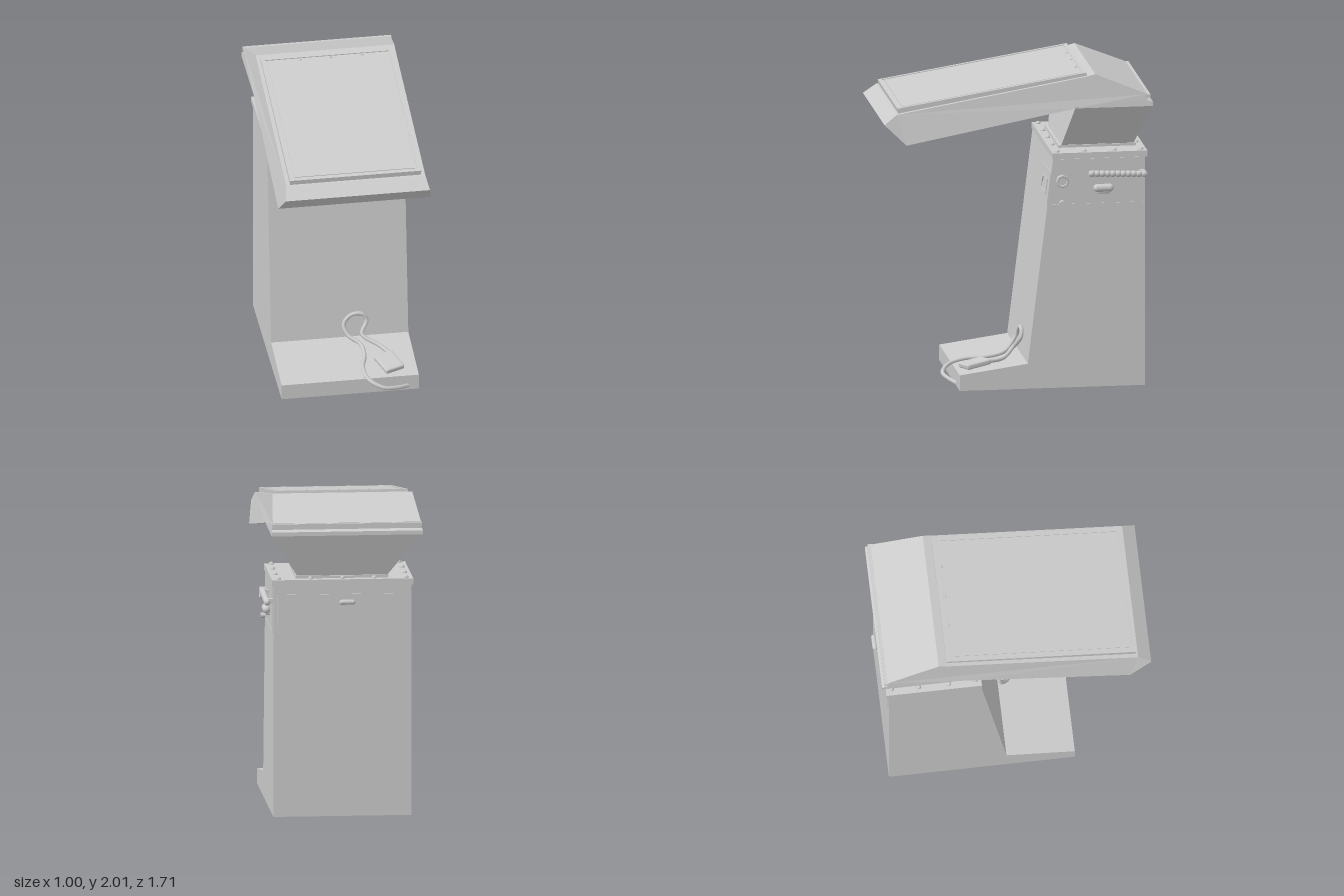
import * as THREE from 'three';
import { RoundedBoxGeometry } from 'three/addons/geometries/RoundedBoxGeometry.js';

const grey = new THREE.MeshStandardMaterial({ color: 0xcccccc });

export function createModel() {
  const group = new THREE.Group();

  const add = (name, geometry, x = 0, y = 0, z = 0, parent = group) => {
    const mesh = new THREE.Mesh(geometry, grey);
    mesh.name = name;
    mesh.position.set(x, y, z);
    parent.add(mesh);
    return mesh;
  };
  const box = (name, sx, sy, sz, x, y, z, parent) =>
    add(name, new THREE.BoxGeometry(sx, sy, sz), x, y, z, parent);

  // Side profile of [z, y, half width] points, spread to each point's width
  const sideExtrude = (points) => {
    const shape = new THREE.Shape(points.map(([z, y]) => new THREE.Vector2(z, y)));
    const geo = new THREE.ExtrudeGeometry(shape, { depth: 2, bevelEnabled: false });
    geo.translate(0, 0, -1).rotateY(-Math.PI / 2);
    const pos = geo.attributes.position;
    for (let i = 0; i < pos.count; i++) {
      const p = points.find(([z, y]) =>
        Math.hypot(z - pos.getZ(i), y - pos.getY(i)) < 1e-4);
      pos.setX(i, pos.getX(i) * p[2]);
    }
    geo.computeVertexNormals();
    return geo;
  };

  // Pedestal with sloping front and foot plate
  const w = 0.434;
  add('pedestal', sideExtrude([
    [0.38, 0, w], [-0.79, 0, w], [-0.79, 1.47, w],
    [-0.21, 1.47, w], [-0.05, 0.16, w], [0.38, 0.1, w],
  ]), 0.006);
  box('pedestalLid', 0.885, 0.038, 0.6, 0.006, 1.486, -0.505);

  // Bolts around the lid
  const boltGeo = new THREE.SphereGeometry(0.016, 10, 6);
  for (const z of [-0.24, -0.77])
    for (let i = 0; i < 5; i++)
      add('lidBolt', boltGeo, 0.006 + (i - 2) * 0.2, 1.506, z);
  for (const x of [-0.4, 0.412])
    for (const z of [-0.41, -0.6]) add('lidBolt', boltGeo, x, 1.506, z);

  // Neck flaring from a narrow foot to the width of the head
  const neckGeo = new THREE.BoxGeometry(2, 1, 1).toNonIndexed();
  const np = neckGeo.attributes.position;
  for (let i = 0; i < np.count; i++) {
    const top = np.getY(i) > 0, front = np.getZ(i) > 0;
    np.setXYZ(i,
      np.getX(i) * (top ? 0.47 : 0.27) + (top ? -0.018 : 0.006),
      top ? 1.795 : 1.5,
      front ? (top ? -0.35 : -0.28) : (top ? -0.835 : -0.735));
  }
  neckGeo.computeVertexNormals();
  add('neck', neckGeo);
  box('neckFlange', 0.58, 0.018, 0.49, 0.006, 1.512, -0.51);

  // Sloping head, narrower at the top
  add('head', sideExtrude([
    [0.855, 1.72, 0.457], [0.72, 1.59, 0.482], [-0.35, 1.79, 0.472],
    [-0.84, 1.79, 0.474], [-0.84, 1.815, 0.474], [-0.805, 1.825, 0.47],
    [-0.805, 1.865, 0.465], [-0.48, 1.998, 0.438], [-0.43, 1.985, 0.438],
    [0.775, 1.78, 0.44],
  ].reverse()), -0.02);
  box('rearLedge', 0.94, 0.02, 0.03, -0.02, 1.853, -0.81);

  // Framed display panel lying on the slope
  const panel = new THREE.Group();
  panel.name = 'displayPanel';
  panel.position.set(-0.02, 1.89, 0.167);
  panel.rotation.x = 0.159;
  group.add(panel);
  box('panelPlate', 0.83, 0.028, 1.21, 0, 0, 0, panel);
  box('panelSurface', 0.76, 0.006, 1.14, 0, 0.015, 0, panel);
  for (const s of [-1, 1]) {
    box('panelFrameSide', 0.022, 0.007, 1.21, s * 0.404, 0.016, 0, panel);
    box('panelFrameEnd', 0.83, 0.007, 0.022, 0, 0.016, s * 0.594, panel);
  }
  const screwGeo = new THREE.SphereGeometry(0.009, 8, 6);
  for (const x of [-0.17, 0.02, 0.22]) add('panelScrew', screwGeo, x, 0.018, -0.565, panel);

  // Raised service panels on the right-hand side and the back
  box('sidePanel', 0.012, 0.29, 0.55, 0.438, 1.32, -0.5);
  box('sidePanelLip', 0.014, 0.012, 0.58, 0.44, 1.172, -0.49);
  box('backPanel', 0.82, 0.21, 0.01, 0.006, 1.305, -0.79);

  // Front service plate with a bordered recess, tilted with the front wall
  const plate = new THREE.Group();
  plate.name = 'frontServicePlate';
  plate.position.set(0.276, 1.275, -0.186);
  plate.rotation.x = -0.122;
  group.add(plate);
  box('servicePlate', 0.32, 0.21, 0.008, 0, 0, 0, plate);
  const rim = new THREE.Shape([[-0.1, -0.05], [0.1, -0.05], [0.1, 0.05], [-0.065, 0.05], [-0.1, 0]]
    .map(([x, y]) => new THREE.Vector2(x, y)));
  rim.holes.push(new THREE.Path([[-0.085, -0.037], [-0.085, -0.004], [-0.058, 0.037], [0.087, 0.037], [0.087, -0.037]]
    .map(([x, y]) => new THREE.Vector2(x, y))));
  add('serviceRim', new THREE.ExtrudeGeometry(rim, { depth: 0.01, bevelEnabled: false }), -0.005, -0.002, 0, plate);

  // Beaded chain handle on the side
  const beadGeo = new THREE.SphereGeometry(0.021, 12, 8);
  for (let i = 0; i <= 10; i++) {
    const t = i / 10;
    const bead = add('chainBead', beadGeo, 0.478, 1.375 - 0.012 * t, -0.45 - 0.33 * t);
    bead.scale.z = 1.1;
  }
  const rod = add('chainRod', new THREE.CylinderGeometry(0.013, 0.013, 0.36, 10), 0.478, 1.369, -0.61);
  rod.rotation.x = Math.PI / 2;
  for (const z of [-0.46, -0.77]) box('chainMount', 0.05, 0.03, 0.03, 0.456, 1.37, z);

  // Side knobs, grip and back latch
  const knob = (name, r, length, y, z, sides) => {
    add(name, new THREE.CylinderGeometry(r, r, length, sides), 0.44 + length / 2, y, z).rotation.z = Math.PI / 2;
  };
  knob('sideKnob', 0.038, 0.035, 1.33, -0.265, 8);
  knob('smallKnob', 0.017, 0.035, 1.187, -0.265, 12);
  add('knobRim', new THREE.TorusGeometry(0.034, 0.008, 6, 8), 0.475, 1.33, -0.265).rotation.y = Math.PI / 2;
  const grip = add('sideGrip', new THREE.CapsuleGeometry(0.025, 0.08, 5, 14), 0.463, 1.278, -0.525);
  grip.rotation.x = Math.PI / 2;
  add('gripBase', new RoundedBoxGeometry(0.03, 0.05, 0.085, 2, 0.012), 0.455, 1.265, -0.525);
  const latch = add('backLatch', new THREE.CapsuleGeometry(0.016, 0.07, 5, 12), -0.02, 1.365, -0.835);
  latch.rotation.z = Math.PI / 2;
  box('latchBase', 0.06, 0.02, 0.05, -0.02, 1.365, -0.81);

  // Looped cable and its plug on the foot plate
  const path = [
    [0.3, 0.15, 0.2], [0.24, 0.155, 0.08], [0.14, 0.2, 0.0], [0.175, 0.27, -0.045],
    [0.15, 0.315, -0.052], [0.08, 0.315, -0.052], [0.03, 0.26, -0.04], [0.05, 0.2, 0.0],
    [0.12, 0.165, 0.06], [0.13, 0.145, 0.16], [0.1, 0.13, 0.3], [0.12, 0.105, 0.4],
    [0.21, 0.07, 0.455], [0.3, 0.05, 0.43], [0.37, 0.035, 0.39],
  ].map((p) => new THREE.Vector3(...p));
  add('cable', new THREE.TubeGeometry(new THREE.CatmullRomCurve3(path), 120, 0.013, 8));
  const plug = add('cablePlug', new RoundedBoxGeometry(0.13, 0.035, 0.17, 2, 0.012), 0.27, 0.136, 0.26);
  plug.rotation.set(0.139, 0.35, 0);

  return group;
}
